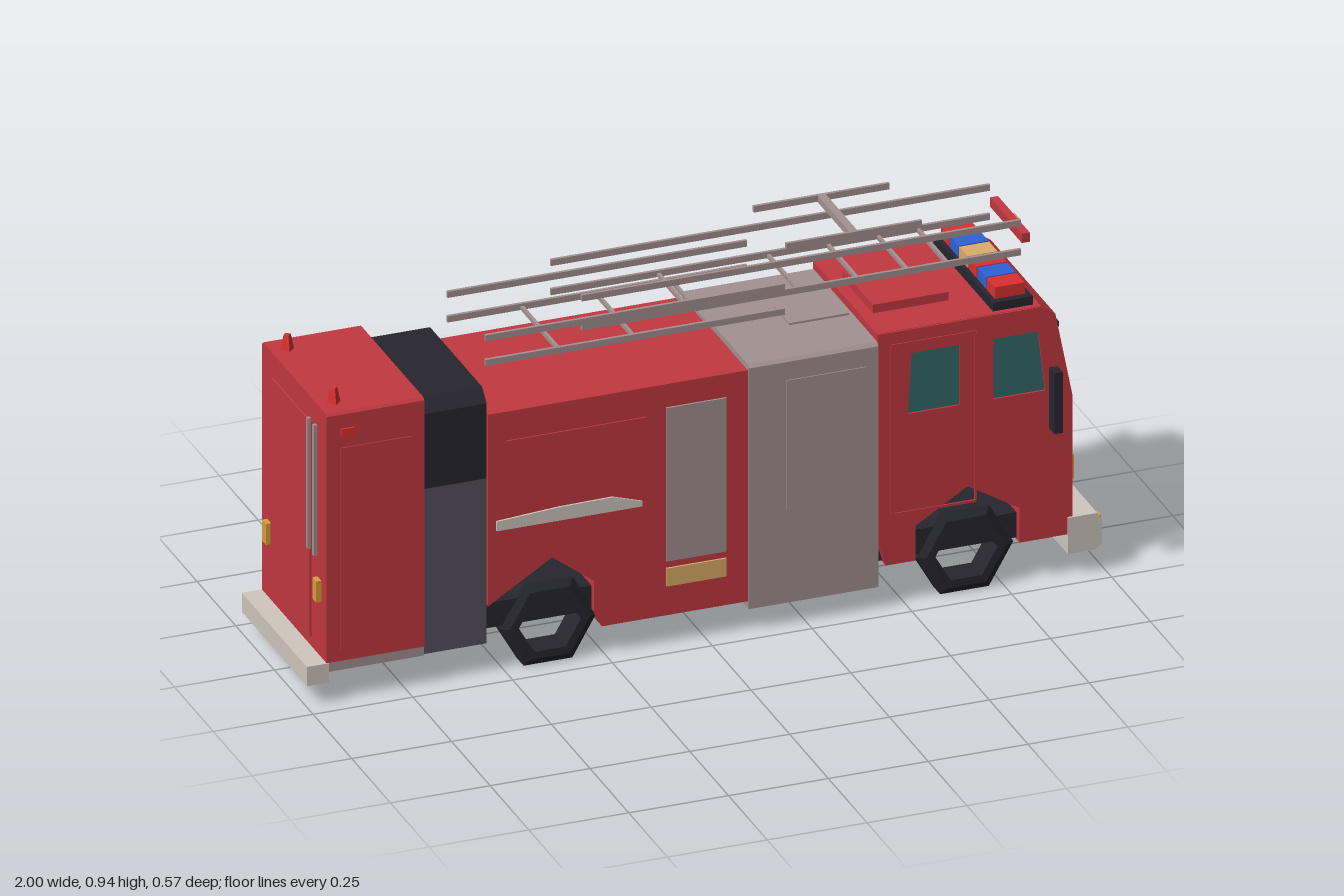
import * as THREE from 'three';

const RED = 0xc23840, GREY = 0xa39291, PALE = 0xd0c7be, DARK = 0x27262f, SLATE = 0x575060,
  AMBER = 0xd9a038, SAND = 0xdcae68, BLUE = 0x2f62d8, LAMP = 0xd93030, TEAL = 0x336a68;

export function createModel() {
  const root = new THREE.Group();
  const mats = {};
  const mat = c => mats[c] ??= new THREE.MeshStandardMaterial({ color: c, flatShading: true, side: THREE.DoubleSide });
  const add = (name, geo, color) => {
    const m = new THREE.Mesh(geo, mat(color));
    m.name = name;
    root.add(m);
    return m;
  };
  // box given by its limits on each axis
  const box = (name, color, x0, x1, y0, y1, z0, z1) =>
    add(name, new THREE.BoxGeometry(x1 - x0, y1 - y0, z1 - z0)
      .translate((x0 + x1) / 2, (y0 + y1) / 2, (z0 + z1) / 2), color);
  // the same box on both sides of the vehicle
  const pair = (name, color, x0, x1, y0, y1, z0, z1) => {
    box(name + 'Left', color, x0, x1, y0, y1, z0, z1);
    box(name + 'Right', color, x0, x1, y0, y1, -z1, -z0);
  };
  const shapeOf = pts => new THREE.Shape(pts.map(p => new THREE.Vector2(...p)));
  // side profile (x, y) extruded across z
  const slab = (name, color, pts, z0, z1, holes = []) => {
    const s = shapeOf(pts);
    s.holes = holes.map(h => new THREE.Path(h.map(p => new THREE.Vector2(...p))));
    return add(name, new THREE.ExtrudeGeometry(s, { depth: z1 - z0, bevelEnabled: false }).translate(0, 0, z0), color);
  };
  // cross-section (z, y) extruded along x
  const bar = (name, color, pts, x0, x1) =>
    add(name, new THREE.ExtrudeGeometry(shapeOf(pts), { depth: x1 - x0, bevelEnabled: false })
      .rotateY(Math.PI / 2).translate(x0, 0, 0), color);
  const chamfered = (w, y0, y1, c) =>
    [[-w, y0], [w, y0], [w, y1 - c], [w - c, y1], [-w + c, y1], [-w, y1 - c]];

  // rear locker
  bar('rearLocker', RED, chamfered(0.208, 0.105, 0.752, 0.006), -0.95, -0.705);
  box('rearSill', GREY, -0.95, -0.705, 0.08, 0.108, -0.205, 0.205);
  pair('rearLockerDoor', RED, -0.915, -0.735, 0.13, 0.66, 0.207, 0.211);
  pair('sideMarker', LAMP, -0.915, -0.88, 0.69, 0.71, 0.207, 0.214);
  box('rearDoor', RED, -0.955, -0.948, 0.13, 0.69, -0.14, 0.11);
  pair('tailLamp', AMBER, -0.963, -0.948, 0.25, 0.305, 0.15, 0.175);
  for (const z of [0.145, 0.185]) box('rearRail', GREY, -0.975, -0.966, 0.38, 0.72, z - 0.005, z + 0.005);
  box('rearBumper', PALE, -1, -0.945, 0.055, 0.105, -0.21, 0.21);
  for (const z of [-0.15, 0.15]) {
    add('rearBeacon', new THREE.CylinderGeometry(0.009, 0.018, 0.042, 4).translate(-0.91, 0.769, z), LAMP);
  }

  // dark pump band
  bar('pumpBandLower', SLATE, [[-0.198, 0.08], [0.198, 0.08], [0.198, 0.51], [-0.198, 0.51]], -0.705, -0.545);
  bar('pumpBandUpper', DARK, chamfered(0.198, 0.51, 0.735, 0.03), -0.705, -0.545);

  // main body with rear wheel arch
  slab('mainBody', RED, [[-0.545, 0.18], [-0.515, 0.2], [-0.385, 0.28], [-0.28, 0.2], [-0.28, 0.12], [-0.26, 0.078],
    [0.105, 0.078], [0.105, 0.68], [-0.545, 0.68]], -0.208, 0.208);
  pair('rollerShutter', GREY, -0.1, 0.05, 0.22, 0.62, 0.206, 0.213);
  pair('amberPanel', SAND, -0.1, 0.05, 0.155, 0.202, 0.206, 0.213);
  const stripe = [[-0.525, 0.375], [-0.16, 0.375], [-0.16, 0.388], [-0.235, 0.412], [-0.37, 0.41], [-0.525, 0.4]];
  slab('stripeLeft', PALE, stripe, 0.206, 0.213);
  slab('stripeRight', PALE, stripe, -0.213, -0.206);
  pair('bodyTrim', RED, -0.5, -0.15, 0.6, 0.605, 0.207, 0.212);

  // grey crew section
  bar('crewSection', GREY, chamfered(0.214, 0.06, 0.695, 0.008), 0.105, 0.43);
  pair('crewDoor', GREY, 0.2, 0.4, 0.3, 0.64, 0.213, 0.217);
  box('crewRoofPanel', GREY, 0.27, 0.42, 0.692, 0.7, -0.05, 0.05);

  // cab: solid lower part with arch, walls with window openings, roof
  const arch = [[0.43, 0.18], [0.45, 0.11], [0.525, 0.11], [0.525, 0.2], [0.655, 0.28], [0.785, 0.2],
    [0.785, 0.11], [0.918, 0.11], [0.918, 0.47]];
  slab('cabLower', RED, [...arch, [0.43, 0.47]], -0.209, 0.209);
  const windows = [
    [[0.505, 0.495], [0.635, 0.495], [0.635, 0.652], [0.515, 0.652]],
    [[0.72, 0.495], [0.85, 0.495], [0.832, 0.652], [0.72, 0.652]]];
  const wall = [[0.43, 0.47], [0.918, 0.47], [0.875, 0.69], [0.84, 0.714], [0.43, 0.714]];
  slab('cabWallLeft', RED, wall, 0.192, 0.209, windows);
  slab('cabWallRight', RED, wall, -0.209, -0.192, windows);
  for (const w of windows) {
    slab('windowLeft', TEAL, w, 0.199, 0.204);
    slab('windowRight', TEAL, w, -0.204, -0.199);
  }
  box('cabBackWall', RED, 0.43, 0.445, 0.47, 0.714, -0.2, 0.2);
  slab('cabRoof', RED, [[0.43, 0.69], [0.86, 0.69], [0.865, 0.65], [0.883, 0.65], [0.875, 0.69], [0.84, 0.715],
    [0.43, 0.715]], -0.205, 0.205);
  // thin raised outlines of the cab doors
  const doors = [[0.465, 0.24, 0.675, 0.68]];
  for (const [x0, y0, x1, y1] of doors) {
    for (const x of [x0, x1]) pair('doorSeam', RED, x - 0.003, x + 0.003, y0, y1, 0.208, 0.212);
    for (const y of [y0, y1]) pair('doorSeam', RED, x0, x1, y - 0.003, y + 0.003, 0.208, 0.212);
  }
  box('roofHatch', RED, 0.46, 0.65, 0.712, 0.737, -0.1, 0.1);

  // windscreen frame
  slab('windscreenPillar', RED, [[0.905, 0.465], [0.925, 0.465], [0.892, 0.652], [0.872, 0.652]], -0.008, 0.008);
  const post = [[0.9, 0.47], [0.918, 0.47], [0.88, 0.66], [0.862, 0.66]];
  slab('windscreenPostLeft', RED, post, 0.175, 0.2);
  slab('windscreenPostRight', RED, post, -0.2, -0.175);
  box('sunVisor', DARK, 0.868, 0.895, 0.641, 0.654, -0.182, 0.182);
  box('windscreenSeal', DARK, 0.9, 0.922, 0.47, 0.481, -0.177, 0.177);

  // cab front fittings
  pair('headlampPlate', PALE, 0.912, 0.927, 0.275, 0.367, 0.098, 0.148);
  for (const z of [-0.122, 0.122]) {
    const lamp = add('headlamp', new THREE.ConeGeometry(0.028, 0.014, 4).rotateZ(-Math.PI / 2), SAND);
    lamp.scale.set(1, 1, 0.65);
    lamp.position.set(0.933, 0.321, z);
  }
  pair('turnLamp', AMBER, 0.912, 0.932, 0.24, 0.302, 0.158, 0.183);
  slab('frontBumper', PALE, [[0.905, 0.06], [0.972, 0.06], [0.99, 0.075], [0.99, 0.138], [0.978, 0.155], [0.905, 0.155]],
    -0.214, 0.214);
  pair('bumperLamp', AMBER, 0.985, 1, 0.106, 0.13, 0.153, 0.18);
  pair('mirror', DARK, 0.843, 0.864, 0.417, 0.575, 0.25, 0.285);

  // light bar
  box('lightBarBase', DARK, 0.725, 0.825, 0.712, 0.737, -0.192, 0.192);
  [LAMP, BLUE, SAND, LAMP, BLUE, LAMP].forEach((c, i) => {
    const z = -0.147 + i * 0.0588;
    box('lightBarLamp', c, 0.737, 0.812, 0.736, 0.767, z - 0.027, z + 0.027);
  });

  // axle housings and six-sided wheels with open centres
  box('rearAxleHousing', DARK, -0.545, -0.27, 0.115, 0.18, -0.19, 0.19);
  box('frontAxleHousing', DARK, 0.43, 0.79, 0.115, 0.18, -0.19, 0.19);
  const tyre = [[0.078, -0.035], [0.1, -0.035], [0.122, -0.022], [0.122, 0.022], [0.1, 0.035], [0.078, 0.035], [0.078, -0.035]];
  const wheelGeo = new THREE.LatheGeometry(tyre.map(p => new THREE.Vector2(...p)), 6, Math.PI / 2)
    .toNonIndexed().rotateX(Math.PI / 2);
  wheelGeo.computeVertexNormals();
  for (const x of [-0.388, 0.655]) for (const z of [-0.167, 0.167]) {
    add(x > 0 ? 'frontWheel' : 'rearWheel', wheelGeo, DARK).position.set(x, 0.106, z);
  }

  // roof ladders: two wide rail pairs, two narrow ones and the top frame
  const rails = (name, x0, x1, y, z) => pair(name, GREY, x0, x1, y - 0.008, y + 0.008, z - 0.004, z + 0.004);
  const rung = (x, y, w) => box('ladderRung', GREY, x - 0.004, x + 0.004, y - 0.005, y + 0.005, -w, w);
  rails('lowerLadderRail', -0.52, 0.23, 0.773, 0.123);
  rails('lowerLadderHandrail', -0.52, 0.23, 0.837, 0.123);
  rails('upperLadderRail', -0.27, 0.83, 0.81, 0.1);
  rails('upperLadderHandrail', -0.27, 0.83, 0.886, 0.1);
  for (const x of [-0.333, -0.145, 0.043]) rung(x, 0.77, 0.123);
  for (const x of [0.0, 0.275, 0.425, 0.55, 0.65]) rung(x, 0.807, 0.1);
  rails('topFrameRail', 0.24, 0.58, 0.932, 0.105);
  box('topFrameCrossbar', GREY, 0.4, 0.42, 0.922, 0.94, -0.105, 0.105);
  box('ladderHead', RED, 0.832, 0.852, 0.833, 0.857, -0.103, 0.103);
  box('ladderHeadLamp', AMBER, 0.85, 0.86, 0.838, 0.852, -0.016, 0.016);

  return root;
}
